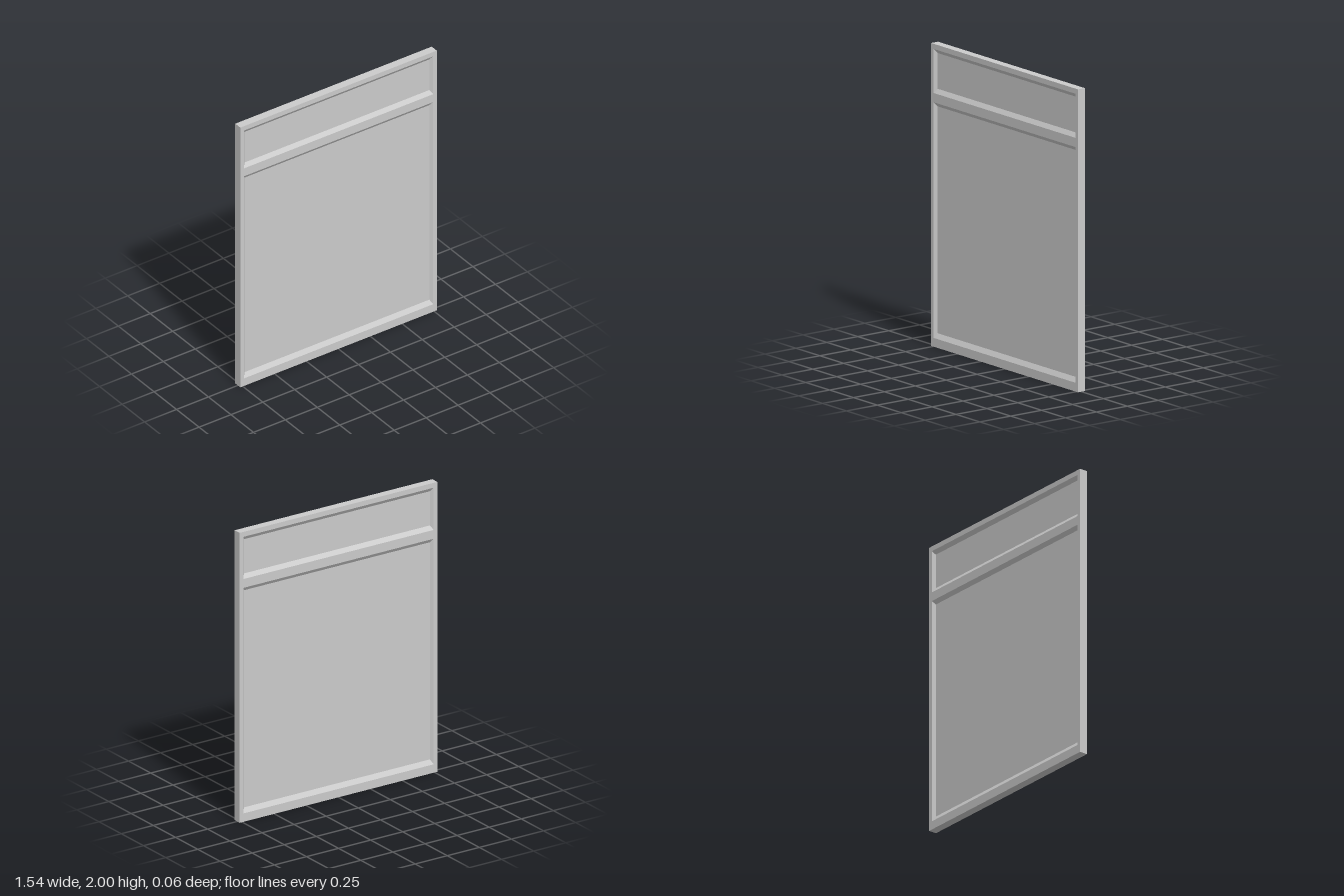
import * as THREE from 'three';

const material = new THREE.MeshStandardMaterial({ color: 0xcccccc, flatShading: true });
const HALF_DEPTH = 0.028; // frame face
const PANEL_Z = 0.01; // sunken panel face

// Rectangles are [left, bottom, right, top]
const outline = [-0.77, 0, 0.77, 2];
const openings = [
  { name: 'upper', outer: [-0.742, 1.675, 0.742, 1.966], inner: [-0.724, 1.704, 0.724, 1.94] },
  { name: 'lower', outer: [-0.742, 0.058, 0.742, 1.614], inner: [-0.724, 0.09, 0.724, 1.588] },
];

const corners = ([l, b, r, t]) => [[l, b], [r, b], [r, t], [l, t]];
const trace = (path, rect) => path.setFromPoints(corners(rect).map(([x, y]) => new THREE.Vector2(x, y)));

// Four flat quads joining rectangle a at depth za to rectangle b at depth zb
function ring(a, za, b, zb) {
  const A = corners(a), B = corners(b), pos = [];
  for (let i = 0; i < 4; i++) {
    const j = (i + 1) % 4;
    const a0 = [...A[i], za], a1 = [...A[j], za], b0 = [...B[i], zb], b1 = [...B[j], zb];
    pos.push(...a0, ...a1, ...b1, ...a0, ...b1, ...b0);
  }
  const g = new THREE.BufferGeometry();
  g.setAttribute('position', new THREE.Float32BufferAttribute(pos, 3));
  g.computeVertexNormals();
  return g;
}

function add(parent, name, geometry) {
  const mesh = new THREE.Mesh(geometry, material);
  mesh.name = name;
  parent.add(mesh);
}

// One side: frame face, sloped mouldings and sunken panels
function createSide(name) {
  const side = new THREE.Group();
  side.name = name;
  const face = trace(new THREE.Shape(), outline);
  face.holes = openings.map((o) => trace(new THREE.Path(), o.outer));
  add(side, 'frameFace', new THREE.ShapeGeometry(face).translate(0, 0, HALF_DEPTH));
  for (const { name: label, outer, inner } of openings) {
    add(side, label + 'Moulding', ring(outer, HALF_DEPTH, inner, PANEL_Z));
    const panel = new THREE.ShapeGeometry(trace(new THREE.Shape(), inner));
    add(side, label + 'Panel', panel.translate(0, 0, PANEL_Z));
  }
  return side;
}

export function createModel() {
  const door = new THREE.Group();
  door.name = 'panelledDoor';
  const back = createSide('backSide');
  back.rotation.y = Math.PI;
  door.add(createSide('frontSide'), back);
  // Outer rim around the slab
  add(door, 'outerEdge', ring(outline, -HALF_DEPTH, outline, HALF_DEPTH));
  return door;
}
